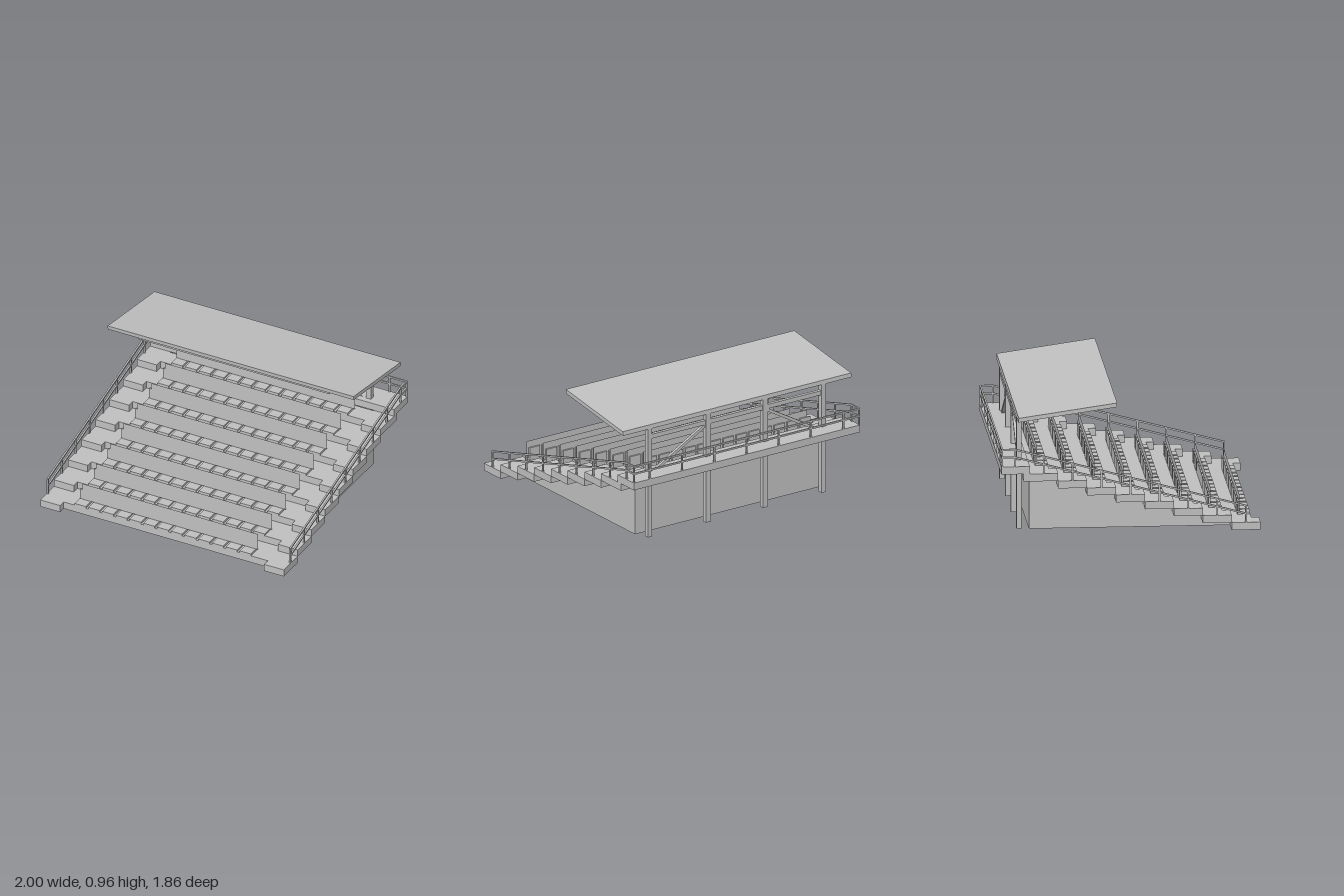
import * as THREE from 'three';

const grey = new THREE.MeshStandardMaterial({ color: 0xc0c0c0 });
grey.name = 'concreteGrey';
const greySheet = new THREE.MeshStandardMaterial({ color: 0xc0c0c0, side: THREE.DoubleSide });
greySheet.name = 'concreteGreySheet';

const STEPS = 8, GOING = 0.2075, RISE = 0.055, BASE = 0.01;
const treadTop = (k) => BASE + RISE * (k + 1);

export function createModel() {
  const root = new THREE.Group();
  root.name = 'grandstand';

  // Box given by its limits on each axis
  function box(name, x0, x1, y0, y1, z0, z1, parent = root) {
    const m = new THREE.Mesh(new THREE.BoxGeometry(x1 - x0, y1 - y0, z1 - z0), grey);
    m.position.set((x0 + x1) / 2, (y0 + y1) / 2, (z0 + z1) / 2);
    m.name = name;
    parent.add(m);
    return m;
  }
  // Square bar between two points
  function bar(name, a, b, w, h, parent = root) {
    const p = new THREE.Vector3(...a), q = new THREE.Vector3(...b);
    const m = new THREE.Mesh(new THREE.BoxGeometry(w, h, p.distanceTo(q)), grey);
    m.position.copy(p).add(q).multiplyScalar(0.5);
    m.lookAt(q);
    m.name = name;
    parent.add(m);
    return m;
  }
  // Side profile (z, y) extruded along x
  function profile(name, pts, halfWidth) {
    const shape = new THREE.Shape(pts.map(([z, y]) => new THREE.Vector2(-z, y)));
    const geo = new THREE.ExtrudeGeometry(shape, { depth: halfWidth * 2, bevelEnabled: false });
    geo.translate(0, 0, -halfWidth);
    geo.rotateY(Math.PI / 2);
    const m = new THREE.Mesh(geo, grey);
    m.name = name;
    root.add(m);
  }

  // Stepped terrace body
  const outline = [[-0.72, BASE], [0.875, BASE]];
  for (let k = 0; k < STEPS; k++) {
    const z = 0.875 - GOING * k;
    if (k > 0) outline.push([z, treadTop(k - 1)]);
    outline.push([z, treadTop(k)]);
  }
  outline.push([-0.72, treadTop(STEPS - 1)]);
  profile('terrace', outline, 0.832);

  // Rear walkway
  box('rearWalkway', -0.99, 0.99, 0.45, 0.505, -0.93, -0.725);

  // Side stairs
  for (const s of [-1, 1]) {
    const stair = new THREE.Group();
    stair.name = s > 0 ? 'leftStair' : 'rightStair';
    root.add(stair);
    for (let k = 0; k < STEPS; k++) {
      const z = 0.93 - GOING * k;
      const back = k === STEPS - 1 ? -0.77 : z - GOING;
      box('stairStep', Math.min(s * 0.83, s * 0.99), Math.max(s * 0.83, s * 0.99),
        treadTop(k) - RISE, treadTop(k), back, z, stair);
    }
  }

  // Seat rows with individual backs and a long thin panel
  for (let k = 0; k < STEPS; k++) {
    const row = new THREE.Group();
    row.name = 'seatRow';
    row.position.set(0, treadTop(k), -GOING * k);
    root.add(row);
    for (let i = 0; i < 13; i++) {
      const x = -0.74 + i * 0.1118;
      box('seat', x, x + 0.09, 0, 0.015, 0.783, 0.875, row);
      box('seatBack', x, x + 0.09, 0.015, 0.095, 0.783, 0.796, row);
    }
    const panel = new THREE.Mesh(new THREE.PlaneGeometry(1.43, 0.13), greySheet);
    panel.position.set(-0.005, 0.08, 0.798);
    panel.name = 'rowPanel';
    row.add(panel);
  }

  // Side railings
  const T = 0.012;
  for (const s of [-1, 1]) {
    const rail = new THREE.Group();
    rail.name = s > 0 ? 'leftRailing' : 'rightRailing';
    root.add(rail);
    const x = s * 0.985;
    for (const drop of [0, 0.057]) {
      bar('slopedRail', [x, 0.185 - drop, 0.83], [x, 0.63 - drop, -0.83], T, T, rail);
      bar('levelRail', [x, 0.63 - drop, -0.83], [x, 0.63 - drop, -0.93], T, T, rail);
    }
    for (let k = 0; k <= STEPS; k++) {
      const z = 0.826 - GOING * k;
      box('railPost', x - T / 2, x + T / 2, treadTop(k), 0.185 + 0.0556 * k, z - T / 2, z + T / 2, rail);
    }
    box('cornerPost', x - T / 2, x + T / 2, 0.505, 0.636, -0.93, -0.918, rail);
  }

  // Rear railing
  for (const y of [0.573, 0.63]) {
    box('rearRail', -0.985, 0.985, y - T / 2, y + T / 2, -0.93, -0.918);
  }
  for (let i = -3; i <= 3; i++) {
    box('rearRailPost', i * 0.282 - T / 2, i * 0.282 + T / 2, 0.505, 0.63, -0.93, -0.918);
  }

  // Roof columns, tie beam and braces
  for (const x of [-0.76, -0.25, 0.25, 0.76]) {
    const w = Math.abs(x) < 0.5 ? 0.022 : 0.019;
    box('column', x - w, x + w, 0, 0.84, -0.805, -0.768);
  }
  box('tieBeam', -0.76, 0.76, 0.75, 0.783, -0.8, -0.773);
  for (const s of [-1, 1]) {
    bar('brace', [s * 0.25, 0.755, -0.786], [s * 0.74, 0.475, -0.786], 0.022, 0.022);
    // Sloping roof arm
    bar('roofArm', [s * 0.76, 0.822, -0.8], [s * 0.76, 0.911, -0.15], 0.03, 0.028);
  }
  bar('frontPurlin', [-0.775, 0.9, -0.16], [0.775, 0.9, -0.16], 0.02, 0.022);

  // Sloping roof slab
  profile('roof', [[-0.81, 0.832], [-0.104, 0.932], [-0.1, 0.963], [-0.806, 0.863]].map(([z, y]) => [z, y]), 1);

  return root;
}
